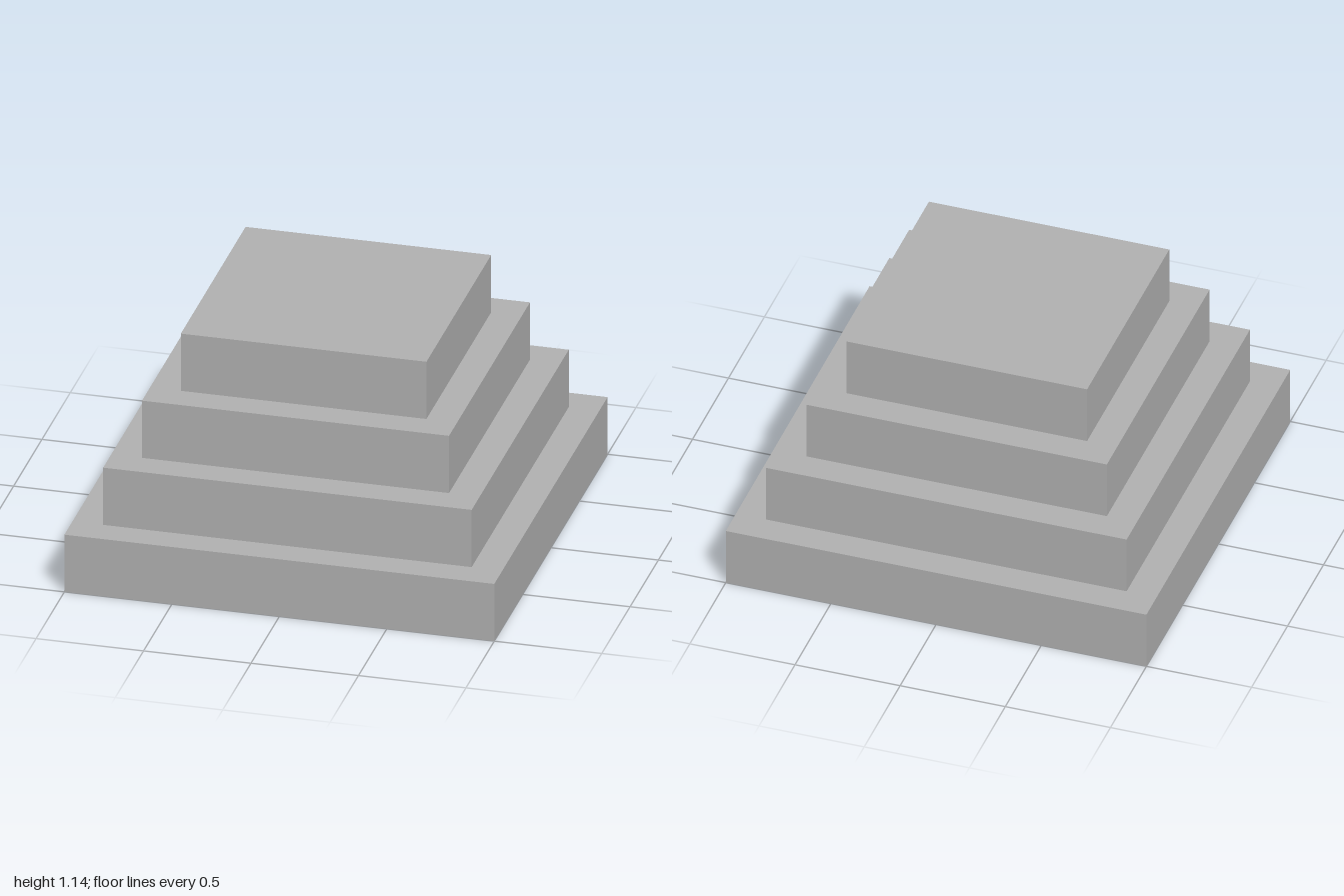
import * as THREE from 'three';

export function createModel() {
  const group = new THREE.Group();
  group.name = 'steppedPyramid';

  const stone = new THREE.MeshStandardMaterial({ color: 0xb2b2b2 });
  stone.name = 'stone grey';

  // Four square tiers of equal height, each one step narrower per side
  const step = 1 / 7;
  const height = 2 * step;
  const names = ['baseTier', 'secondTier', 'thirdTier', 'topTier'];
  names.forEach((name, i) => {
    const width = 2 - 2 * step * i;
    const tier = new THREE.Mesh(new THREE.BoxGeometry(width, height, width), stone);
    tier.name = name;
    tier.position.y = height * (i + 0.5);
    group.add(tier);
  });

  return group;
}
